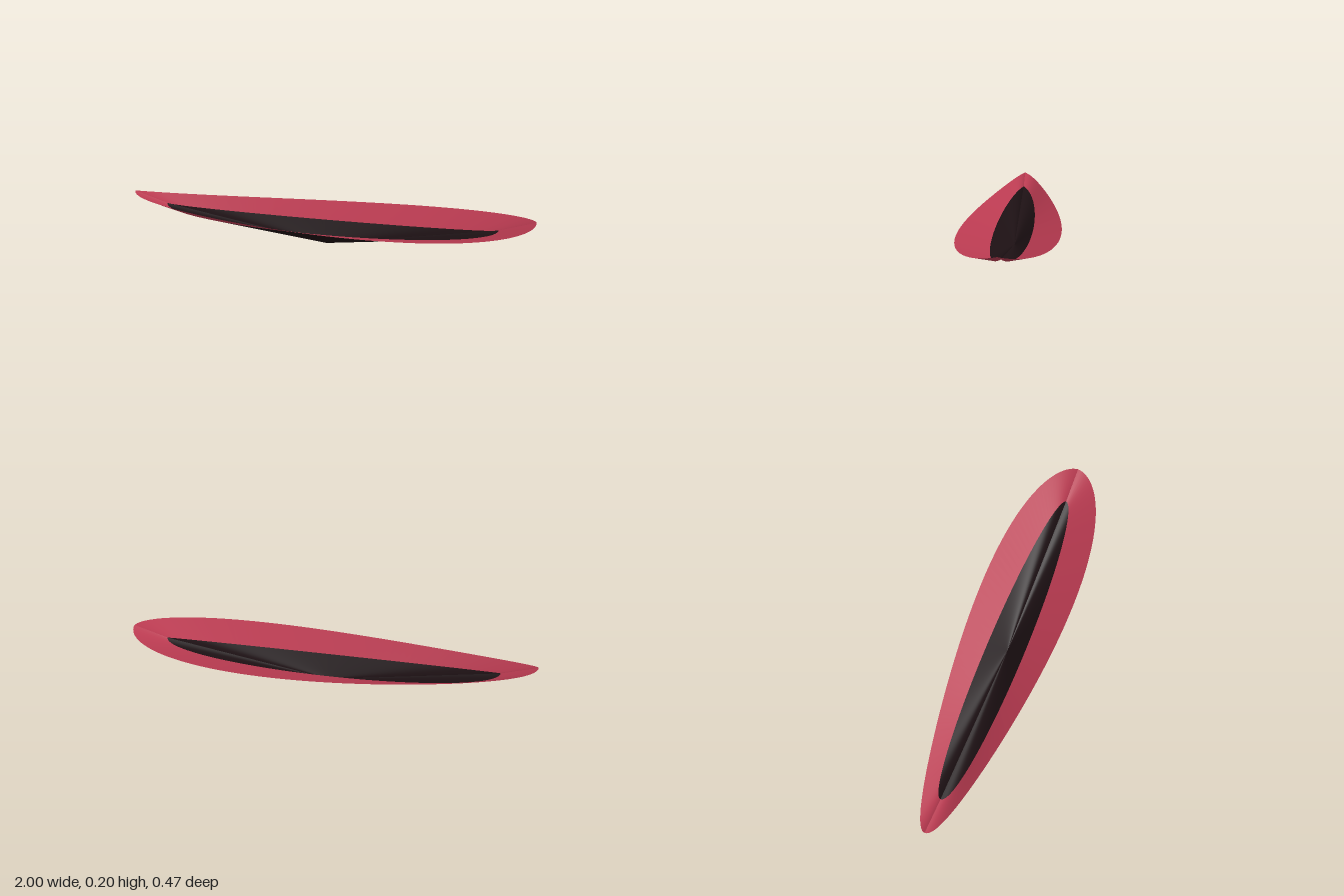
import * as THREE from 'three';

const SEGMENTS = 64;

// Closed outlines, t = 0 at the blunt end (+x); both dip along their sides
const rim = (t) => [
  Math.cos(t),
  0.2 - 0.06 * Math.abs(Math.sin(t)),
  0.222 * Math.sin(t) * (1 + 0.366 * Math.cos(t)),
];
const knee = (t) => [
  0.83 * Math.cos(t),
  0.145 - 0.06 * Math.abs(Math.sin(t)),
  0.094 * Math.sin(t),
];
const keelPoint = () => [0, 0, 0];

// Ruled surface between two outlines over half a turn, so the ends stay creased
function ruledHalf(upper, lower, start) {
  const positions = [];
  const index = [];
  for (let i = 0; i <= SEGMENTS; i++) {
    const t = start + (Math.PI * i) / SEGMENTS;
    positions.push(...upper(t), ...lower(t));
    if (i === SEGMENTS) continue;
    const a = i * 2;
    index.push(a, a + 2, a + 1);
    if (lower !== keelPoint) index.push(a + 2, a + 3, a + 1);
  }
  const geometry = new THREE.BufferGeometry();
  geometry.setAttribute('position', new THREE.Float32BufferAttribute(positions, 3));
  geometry.setIndex(index);
  geometry.computeVertexNormals();
  return geometry;
}

export function createModel() {
  const model = new THREE.Group();
  model.name = 'hull';
  const red = new THREE.MeshStandardMaterial({ color: 0xb83a50, side: THREE.DoubleSide });
  const dark = new THREE.MeshStandardMaterial({ color: 0x1c1013, side: THREE.DoubleSide });

  // Front and back halves of the flared side and the pointed bottom
  for (const [side, start] of [['front', 0], ['back', Math.PI]]) {
    const flare = new THREE.Mesh(ruledHalf(rim, knee, start), red);
    flare.name = side + 'Flare';
    const bottom = new THREE.Mesh(ruledHalf(knee, keelPoint, start), dark);
    bottom.name = side + 'Bottom';
    model.add(flare, bottom);
  }
  return model;
}
